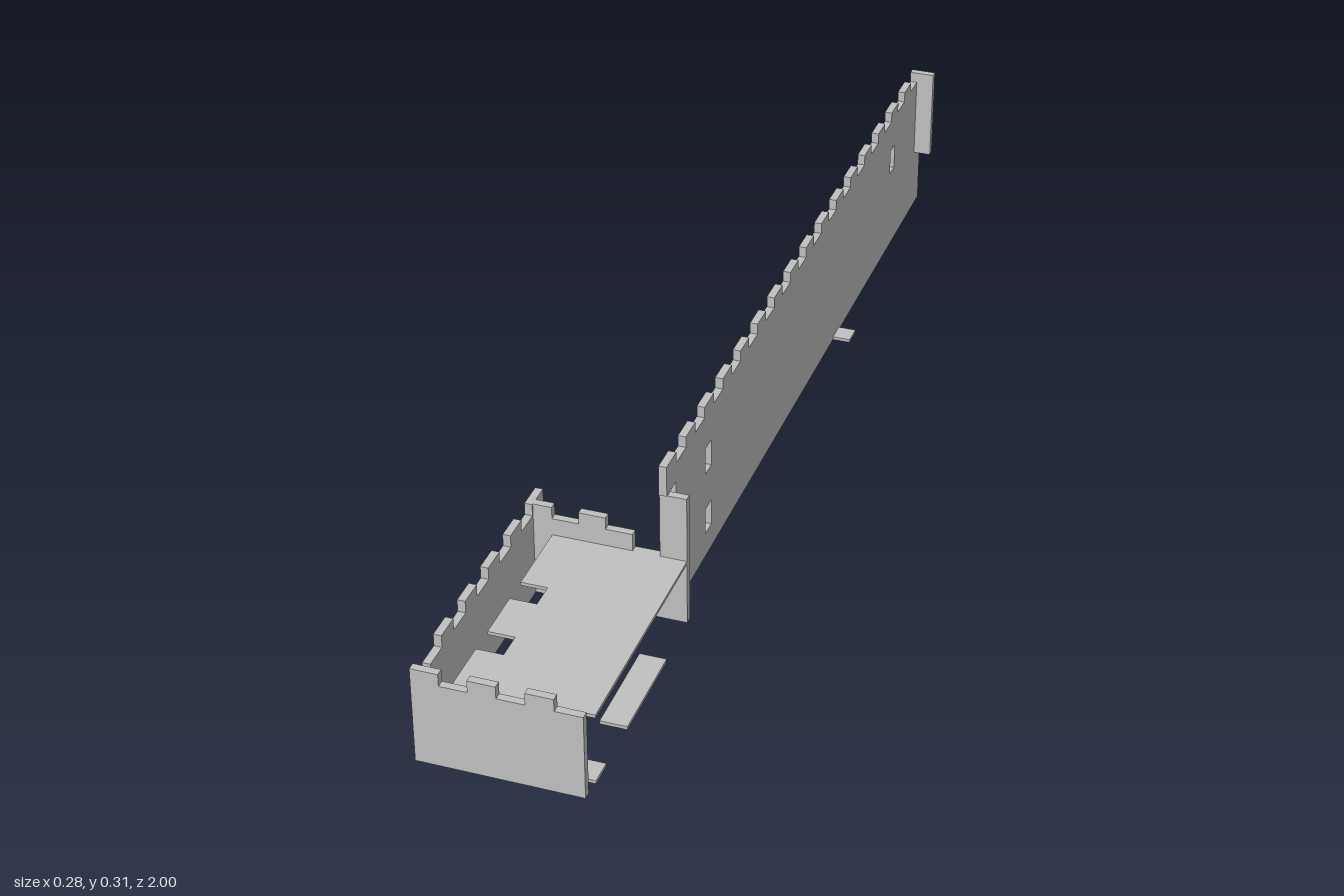
import * as THREE from 'three';

const T = 0.0137;      // panel thickness
const M = 0.0467;      // width of one merlon
const BASE = 0.007;    // bottom edge of the upright panels
const THIN = 0.006;    // thickness of the horizontal sheets

// Profile of a row of merlons, each followed by an equal gap
function merlons(start, count, low, high) {
  const pts = [];
  for (let i = 0; i < count; i++) {
    const a = start + i * 2 * M, b = a + M;
    pts.push([a, low], [a, high], [b, high], [b, low]);
  }
  return pts;
}

const rect = (x0, y0, x1, y1) => [[x0, y0], [x1, y0], [x1, y1], [x0, y1]];

export function createModel() {
  const group = new THREE.Group();
  const grey = new THREE.MeshStandardMaterial({ color: 0xc0c0c0 });
  grey.name = 'grey card';

  const slab = (name, pts, depth, holes = []) => {
    const toVec = (list) => list.map(([x, y]) => new THREE.Vector2(x, y));
    const shape = new THREE.Shape(toVec(pts));
    for (const h of holes) shape.holes.push(new THREE.Path(toVec(h)));
    const geo = new THREE.ExtrudeGeometry(shape, { depth, bevelEnabled: false });
    const mesh = new THREE.Mesh(geo, grey);
    mesh.name = name;
    group.add(mesh);
    return mesh;
  };
  // Panel across x, outline in (x, y)
  const across = (name, pts, z) => { slab(name, pts, T).position.z = z; };
  // Panel along z, outline in (-z, y)
  const along = (name, pts, x, holes) => {
    const m = slab(name, pts, T, holes);
    m.rotation.y = Math.PI / 2;
    m.position.x = x;
  };
  // Horizontal sheet, outline in (x, -z)
  const sheet = (name, pts, y) => {
    const m = slab(name, pts, THIN);
    m.rotation.x = -Math.PI / 2;
    m.position.y = y;
  };

  // Long battlemented wall with slit windows
  along('longWall', [
    [-0.49, BASE], [-0.49, 0.251], [-0.535, 0.251],
    ...merlons(-0.535, 16, 0.287, 0.307).slice(1),
    [0.957, 0.287], [0.957, 0.13], [1, 0.13], [1, BASE],
  ], 0.0935, [
    rect(-0.344, 0.173, -0.314, 0.223),
    rect(-0.344, 0.053, -0.314, 0.102),
    rect(0.774, 0.173, 0.803, 0.223),
  ]);
  across('wallEndPanel', rect(0.0935, 0.13, 0.14, 0.307), -0.971);
  sheet('wallTab', rect(0.107, 0.4, 0.14, 0.438), BASE);

  // Front panel of the low tower
  across('frontPanel', [
    [-0.14, BASE], ...merlons(-0.14, 3, 0.162, 0.184).slice(1),
    [0.14, 0.162], [0.14, BASE],
  ], 1 - T);

  // Back panel, with a tall tongue meeting the long wall
  across('backPanel', [
    [-0.1265, BASE], [-0.1265, 0.184], [-0.0933, 0.184], [-0.0933, 0.162],
    ...merlons(-0.0466, 1, 0.162, 0.184),
    [M, 0.162], [M, 0.13], [0.0935, 0.13], [0.0935, 0.251],
    [0.14, 0.251], [0.14, BASE],
  ], 0.519);

  // Side panel with a hooked rear tab
  along('sidePanel', [
    [-0.954, BASE], [-0.954, 0.162], ...merlons(-0.909, 5, 0.162, 0.184).slice(0, -1),
    [-0.487, 0.184], [-0.487, 0.13], [-0.52, 0.13], [-0.52, BASE],
  ], -0.14);

  // Deck with two notches in its side edge
  sheet('deck', [
    [-0.0935, -0.951], [0.14, -0.951], [0.14, -0.519], [-0.0935, -0.519],
    [-0.0935, -0.672], [-0.047, -0.672], [-0.047, -0.718], [-0.0935, -0.718],
    [-0.0935, -0.81], [-0.047, -0.81], [-0.047, -0.857], [-0.0935, -0.857],
  ], 0.124);

  // Loose floor pieces
  sheet('floorFrontPiece', rect(M, -0.955, 0.14, -0.911), 0);
  sheet('floorSidePiece', rect(0.0935, -0.817, 0.14, -0.634), 0);
  sheet('floorNotchedPiece', [
    [-0.0935, -0.817], [0, -0.817], [0, -0.634], [-0.0935, -0.634],
    [-0.0935, -0.68], [-0.047, -0.68], [-0.047, -0.771], [-0.0935, -0.771],
  ], 0);

  return group;
}
